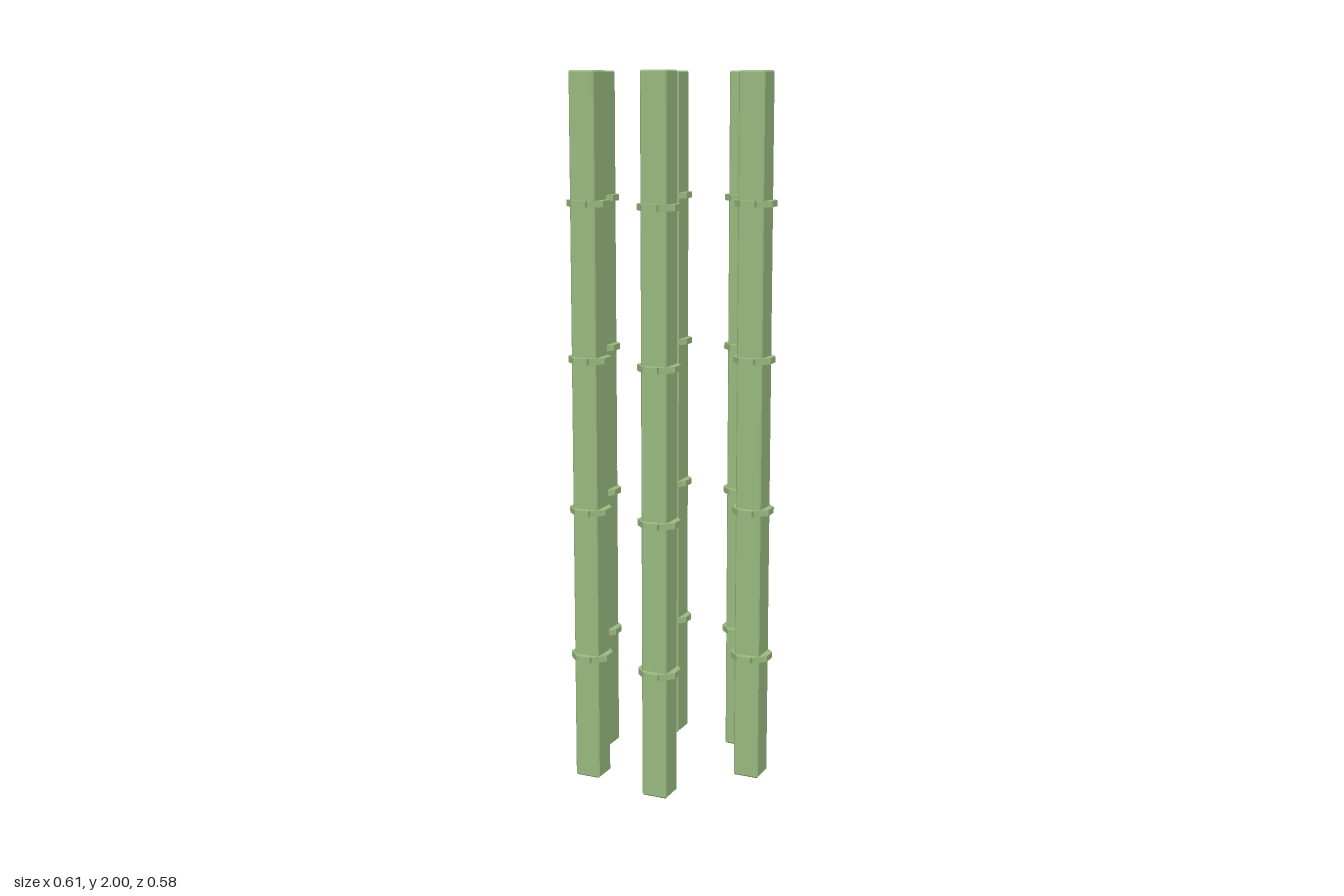
import * as THREE from 'three';
import { ConvexGeometry } from 'three/addons/geometries/ConvexGeometry.js';

const WIDTH = 0.075, HEIGHT = 2, BEVEL = 0.004;
const JOINT_HEIGHTS = [0.36, 0.788, 1.217, 1.646];
const STALKS = [
  [-0.107, -0.236], [0.133, -0.219], [-0.25, -0.044],
  [0.248, -0.007], [-0.167, 0.181], [0.069, 0.232],
];

// Box with every edge chamfered, centred on the origin
function chamferedBox(w, h, d, b) {
  const points = [];
  for (const x of [-w / 2, w / 2]) for (const y of [-h / 2, h / 2]) for (const z of [-d / 2, d / 2]) {
    const ix = x - Math.sign(x) * b, iy = y - Math.sign(y) * b, iz = z - Math.sign(z) * b;
    points.push(
      new THREE.Vector3(x, iy, iz),
      new THREE.Vector3(ix, y, iz),
      new THREE.Vector3(ix, iy, z)
    );
  }
  return new ConvexGeometry(points);
}

export function createModel() {
  const model = new THREE.Group();
  model.name = 'bambooStalks';
  const green = new THREE.MeshStandardMaterial({ color: 0x9aba80 });
  green.name = 'bambooGreen';

  const caneGeometry = chamferedBox(WIDTH, HEIGHT, WIDTH, BEVEL);
  const blockGeometry = new THREE.BoxGeometry(0.039, 0.017, 0.024);

  // Joint: a ring of eight blocks, the diagonal ones set slightly further in
  function makeJoint(y) {
    const joint = new THREE.Group();
    joint.name = 'joint';
    joint.position.y = y;
    for (let i = 0; i < 8; i++) {
      const angle = i * Math.PI / 4;
      const radius = (i % 2 ? 0.0545 : 0.056) - 0.012;
      const block = new THREE.Mesh(blockGeometry, green);
      block.name = 'jointBlock';
      block.position.set(Math.sin(angle) * radius, 0, Math.cos(angle) * radius);
      block.rotation.y = angle;
      joint.add(block);
    }
    return joint;
  }

  // Each stalk: a square cane with four joints
  for (const [x, z] of STALKS) {
    const stalk = new THREE.Group();
    stalk.name = 'stalk';
    stalk.position.set(x, 0, z);
    const cane = new THREE.Mesh(caneGeometry, green);
    cane.name = 'cane';
    cane.position.y = HEIGHT / 2;
    stalk.add(cane, ...JOINT_HEIGHTS.map(makeJoint));
    model.add(stalk);
  }
  return model;
}
